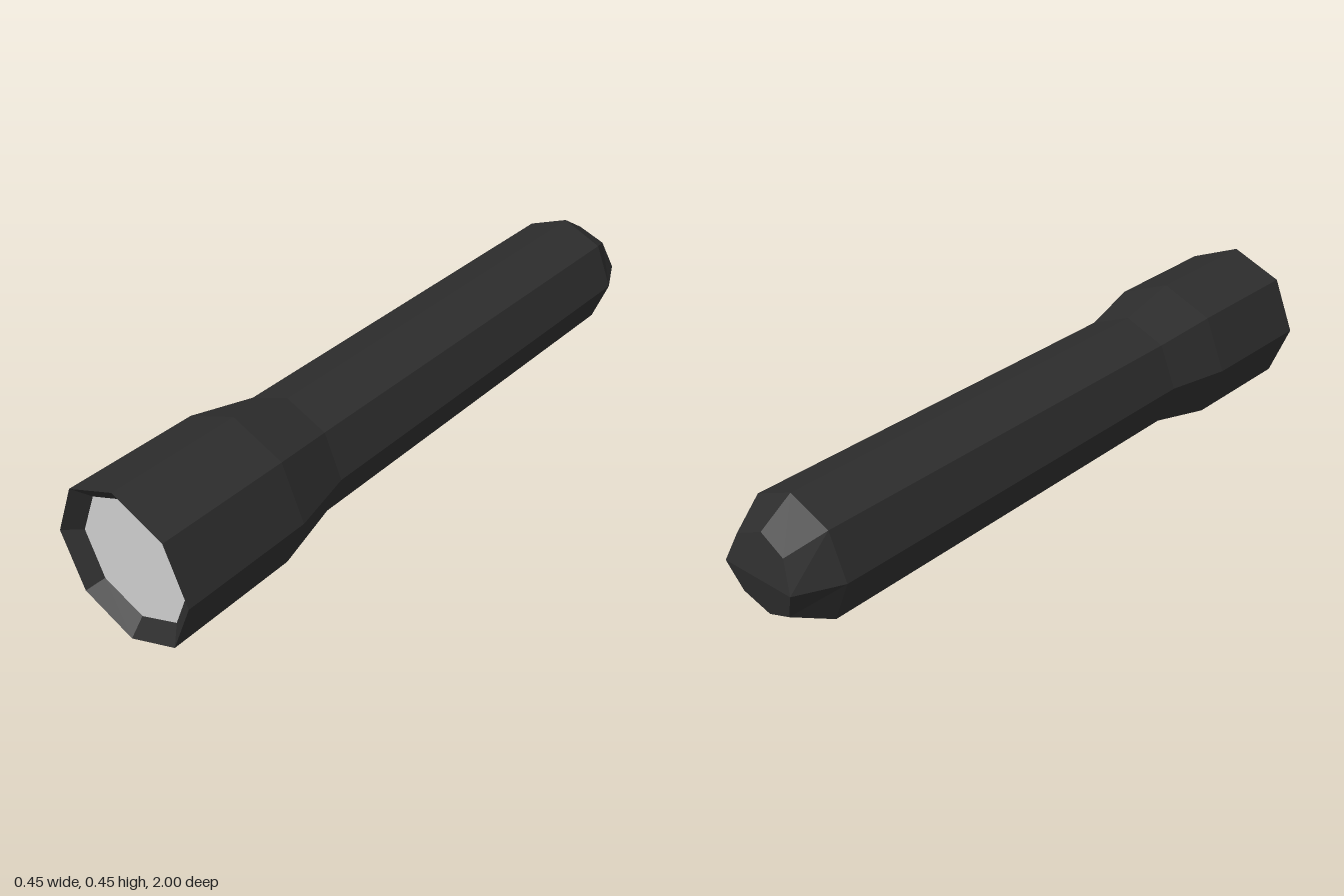
import * as THREE from 'three';

const SIDES = 8;
const CENTRE_Y = 0.2245;

// Faceted octagonal lathe along z from [radius, z] pairs, back to front
function facetedLathe(profile, bend) {
  const points = profile.map(([r, z]) => new THREE.Vector2(r, z));
  const geometry = new THREE.LatheGeometry(points, SIDES);
  geometry.rotateX(Math.PI / 2);
  if (bend) bend(geometry.attributes.position);
  const flat = geometry.toNonIndexed();
  flat.computeVertexNormals();
  return flat;
}

// Slope the tail end away from a horizontal ridge
function wedgeTail(position) {
  for (let i = 0; i < position.count; i++) {
    if (position.getZ(i) < -0.95) position.setZ(i, -1 + 0.21 * Math.abs(position.getY(i)));
  }
}

export function createModel() {
  const black = new THREE.MeshStandardMaterial({ color: 0x2d2d2d });
  black.name = 'black casing';
  const grey = new THREE.MeshStandardMaterial({ color: 0xcccccc });
  grey.name = 'pale grey lens';

  const model = new THREE.Group();
  model.name = 'flashlight';

  const add = (name, geometry, material) => {
    const mesh = new THREE.Mesh(geometry, material);
    mesh.name = name;
    mesh.position.y = CENTRE_Y;
    model.add(mesh);
    return mesh;
  };

  // Handle with chamfered tail
  add('handle', facetedLathe([[0, -1], [0.116, -1], [0.177, -0.88], [0.177, 0.42]], wedgeTail), black);

  // Flared head and the rim sloping in to the lens
  add('head', facetedLathe([[0.177, 0.42], [0.221, 0.61], [0.2235, 1]]), black);
  add('rim', facetedLathe([[0.2235, 1], [0.179, 0.96]]), black);

  // Recessed lens
  add('lens', new THREE.CircleGeometry(0.179, SIDES), grey).position.z = 0.96;

  return model;
}
